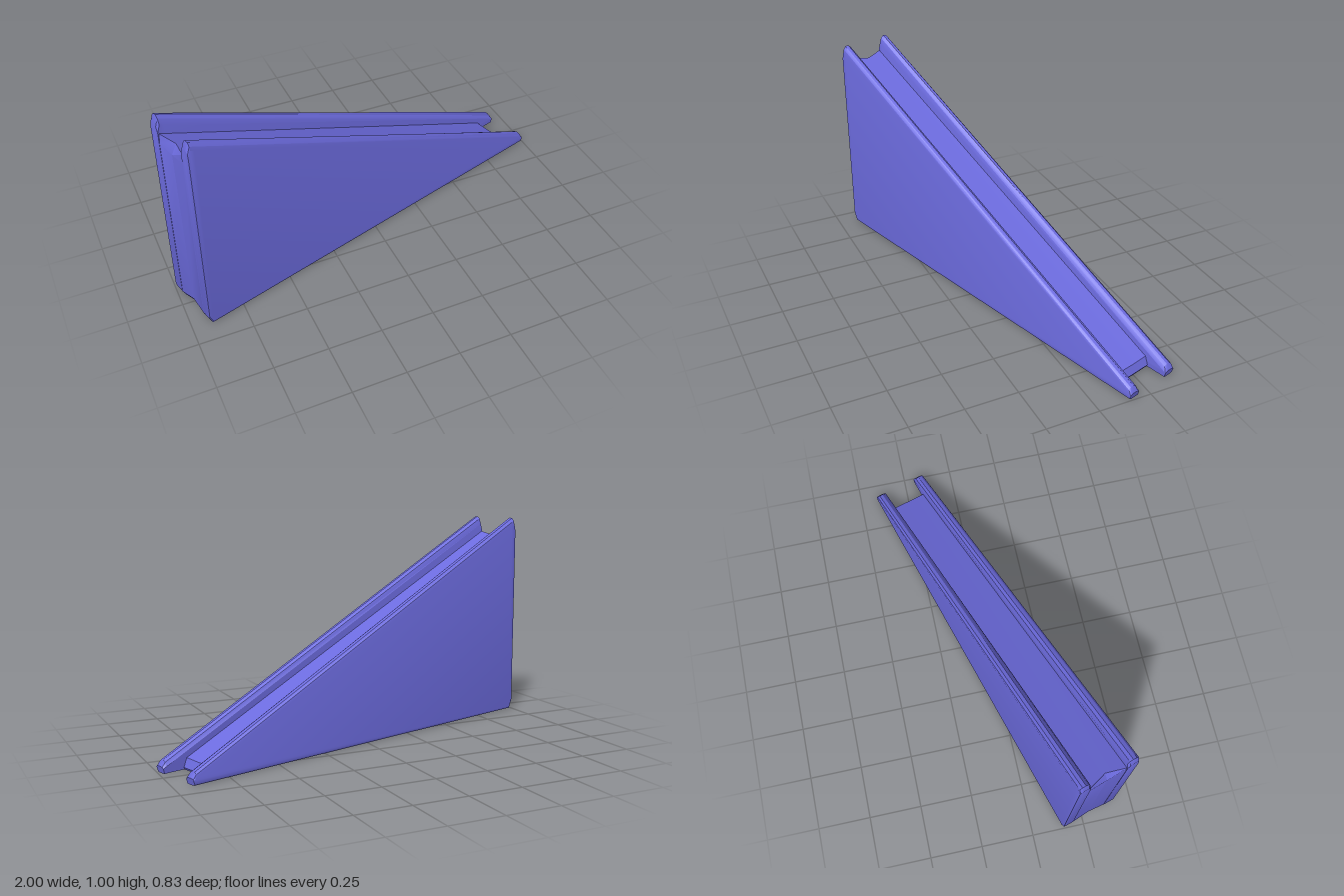
import * as THREE from 'three';
import { toCreasedNormals } from 'three/addons/utils/BufferGeometryUtils.js';

// Skin a stack of clockwise (x, y) outlines, each at its own z, back to front.
function loft(sections) {
  const pos = [];
  const tri = (...pts) => pts.forEach((p) => pos.push(...p));
  const rings = sections.map(({ z, outline }) => outline.map(([x, y]) => [x, y, z]));
  const n = rings[0].length;
  for (let i = 0; i < rings.length - 1; i++) {
    for (let j = 0; j < n; j++) {
      const k = (j + 1) % n;
      const a = rings[i][j], b = rings[i][k], c = rings[i + 1][k], d = rings[i + 1][j];
      tri(a, d, c);
      tri(a, c, b);
    }
  }
  const back = rings[0], front = rings[rings.length - 1];
  for (let j = 1; j < n - 1; j++) {
    tri(back[0], back[j], back[j + 1]);
    tri(front[0], front[j + 1], front[j]);
  }
  const geometry = new THREE.BufferGeometry();
  geometry.setAttribute('position', new THREE.Float32BufferAttribute(pos, 3));
  return toCreasedNormals(geometry, 0.5);
}

// Wedge outline of a side rail, with its rim drawn in at the top and bottom.
const railOutline = (top, bottom) => [
  [-0.985, bottom],
  [-1, 0.035 + bottom],
  [-1, 0.97 - top],
  [-0.988, 1.005 - top],
  [-0.97, 0.997 - top],
  [0.985, 0.055 - top * 0.6],
  [1, 0.03 - top * 0.2],
  [0.995, bottom * 0.5],
];

// Rail sections from the channel wall out to the rounded outer face.
const railSections = [
  { z: 0.085, outline: railOutline(0.04, 0.003) },
  { z: 0.094, outline: railOutline(0.012, 0) },
  { z: 0.108, outline: railOutline(0, 0) },
  { z: 0.124, outline: railOutline(0.002, 0) },
  { z: 0.135, outline: railOutline(0.016, 0.004) },
  { z: 0.138, outline: railOutline(0.034, 0.014) },
];

// Channel block, notched in the middle of its high end.
const coreSide = [[-0.985, 0], [-0.999, 0.03], [-0.999, 0.88], [-0.997, 0.927],
  [0.885, 0.05], [0.9, 0.01], [0.895, 0]];
const coreMiddle = [[-0.965, 0], [-0.994, 0.05], [-0.995, 0.87], [-0.971, 0.915],
  [0.885, 0.048], [0.9, 0.01], [0.895, 0]];

export function createModel() {
  const model = new THREE.Group();
  model.name = 'channelRamp';

  const violet = new THREE.MeshStandardMaterial({ color: 0x6d6ce0 });
  violet.name = 'violet';

  const add = (name, sections) => {
    const mesh = new THREE.Mesh(loft(sections), violet);
    mesh.name = name;
    model.add(mesh);
  };

  add('channelFloor', [
    { z: -0.09, outline: coreSide },
    { z: 0, outline: coreMiddle },
    { z: 0.09, outline: coreSide },
  ]);
  add('frontRail', railSections);
  add('backRail', railSections.map(({ z, outline }) => ({ z: -z, outline })).reverse());

  // The ramp stands turned a little about the vertical
  model.rotation.y = 0.286;
  return model;
}
